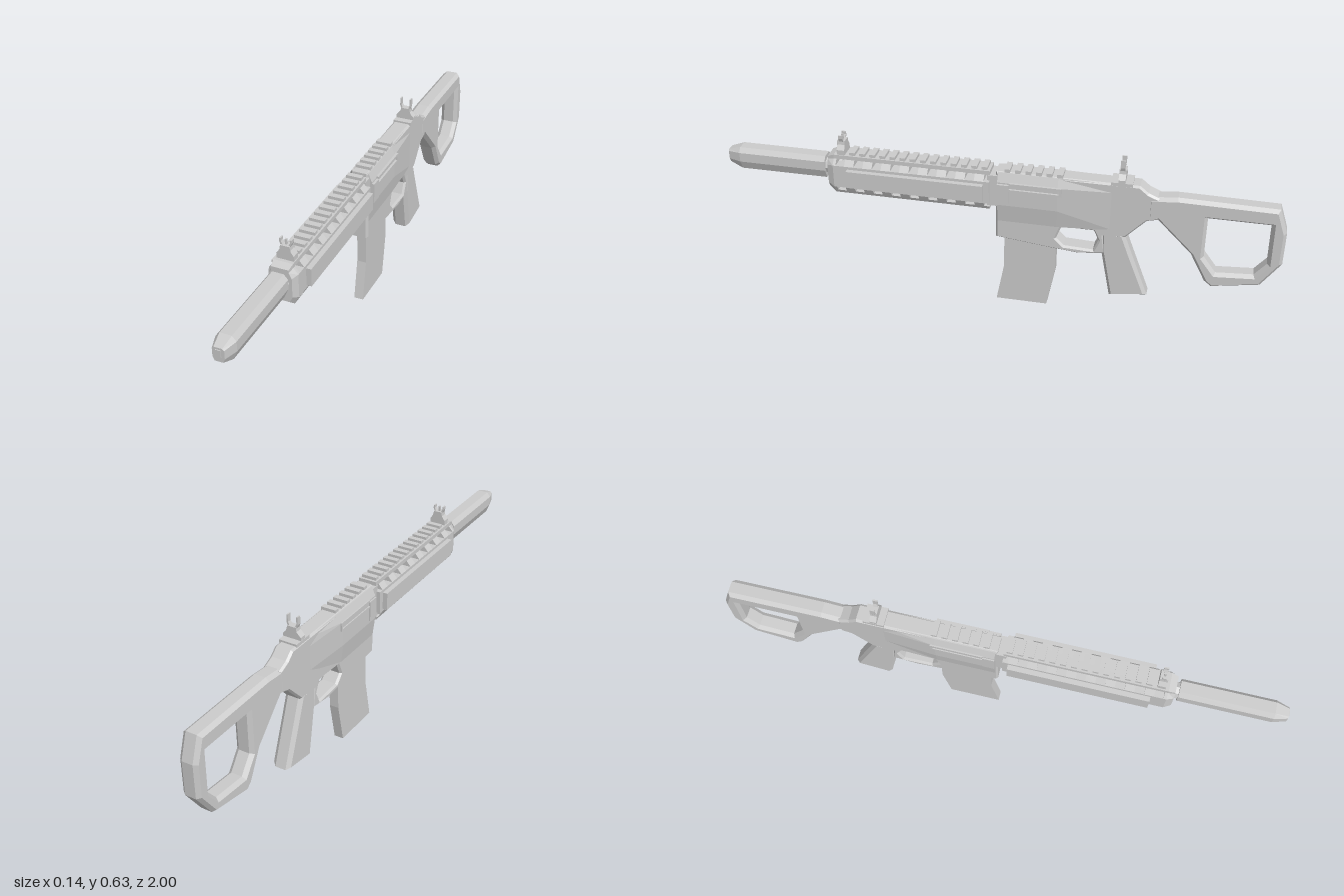
import * as THREE from 'three';

const mat = new THREE.MeshStandardMaterial({ color: 0xcccccc, flatShading: true });

export function createModel() {
  const root = new THREE.Group();

  function add(name, geo, x = 0, y = 0, z = 0) {
    const m = new THREE.Mesh(geo, mat);
    m.name = name;
    m.position.set(x, y, z);
    root.add(m);
    return m;
  }

  // box given by its half width and its y and z ranges
  const slab = (name, hw, y0, y1, z0, z1, x = 0) =>
    add(name, new THREE.BoxGeometry(2 * hw, y1 - y0, z1 - z0), x, (y0 + y1) / 2, (z0 + z1) / 2);

  // chamfered plate cut from a side outline of [z, y] points
  function plate(name, outline, hw, bevel, hole, x = 0) {
    const toPts = (a) => a.map(([z, y]) => new THREE.Vector2(z, y));
    const shape = new THREE.Shape(toPts(outline));
    if (hole) shape.holes.push(new THREE.Path(toPts(hole)));
    const depth = 2 * (hw - bevel);
    const geo = new THREE.ExtrudeGeometry(shape, {
      depth, bevelEnabled: bevel > 0, bevelSegments: 1,
      bevelSize: bevel * 0.8, bevelThickness: bevel, bevelOffset: -bevel * 0.8,
    });
    geo.translate(0, 0, -depth / 2);
    geo.rotateY(-Math.PI / 2);
    return add(name, geo, x);
  }

  // symmetric loft: sections are [z, half profile from bottom to top]
  function loft(name, sections, x = 0) {
    const pos = [], idx = [];
    const n = sections[0][1].length * 2;
    for (const [z, half] of sections) {
      const ring = [...half, ...half.map(([a, b]) => [-a, b]).reverse()];
      for (const [a, b] of ring) pos.push(a, b, z);
    }
    const last = (sections.length - 1) * n;
    for (let o = 0; o < last; o += n) {
      for (let j = 0; j < n; j++) {
        const a = o + j, b = o + (j + 1) % n;
        idx.push(a, b, b + n, a, b + n, a + n);
      }
    }
    for (let j = 1; j < n - 1; j++) idx.push(0, j + 1, j, last, last + j, last + j + 1);
    const geo = new THREE.BufferGeometry();
    geo.setAttribute('position', new THREE.Float32BufferAttribute(pos, 3));
    geo.setIndex(idx);
    const flat = geo.toNonIndexed();
    flat.computeVertexNormals();
    return add(name, flat, x);
  }

  // barrel sleeve with a tapered tip
  const sleeve = [[0.02, 0.442], [0.034, 0.475], [0.034, 0.51], [0.02, 0.527]];
  const tip = [[0.014, 0.462], [0.02, 0.476], [0.02, 0.506], [0.014, 0.512]];
  loft('barrelSleeve', [[0.625, sleeve], [0.95, sleeve], [0.997, tip]]);
  slab('bore', 0.009, 0.478, 0.505, 0.96, 1.0);
  add('barrelNeck', new THREE.CylinderGeometry(0.03, 0.03, 0.08, 8).rotateX(Math.PI / 2), 0, 0.485, 0.605);

  // handguard: three long bars joined by ribs, leaving open slots
  const full = [[0.035, 0.395], [0.051, 0.425], [0.051, 0.51], [0.034, 0.53], [0.034, 0.545]];
  const nose = [[0.03, 0.415], [0.04, 0.435], [0.04, 0.505], [0.03, 0.525], [0.03, 0.535]];
  loft('handguardFront', [[0.578, full], [0.588, full], [0.612, nose]]);
  slab('handguardCore', 0.051, 0.425, 0.51, 0.02, 0.58);
  slab('handguardTop', 0.034, 0.53, 0.545, 0.02, 0.58);
  loft('handguardBottom', [0.02, 0.58].map((z) => [z, [[0.035, 0.395], [0.042, 0.408]]]));
  for (let i = 0; i < 8; i++) {
    const c = 0.056 + i * 0.0675, ends = [c - 0.017, c + 0.017];
    loft('upperRib', ends.map((z) => [z, [[0.051, 0.51], [0.034, 0.53]]]));
    loft('lowerRib', ends.map((z) => [z, [[0.042, 0.408], [0.051, 0.425]]]));
  }
  for (const s of [-1, 1]) slab('sidePanel', 0.011, 0.435, 0.5, 0.04, 0.535, s * 0.058);
  slab('joint', 0.036, 0.41, 0.53, -0.02, 0.03);

  // rail teeth
  for (let z = 0.03; z < 0.53; z += 0.037) slab('railTooth', 0.028, 0.543, 0.556, z, z + 0.02);
  for (let z = -0.03; z > -0.22; z -= 0.037) slab('railTooth', 0.028, 0.543, 0.556, z - 0.02, z);

  // receiver with trigger opening
  plate('receiver', [
    [0, 0.545], [-0.5, 0.545], [-0.53, 0.52], [-0.57, 0.503], [-0.57, 0.42], [-0.53, 0.41],
    [-0.46, 0.335], [-0.385, 0.33], [-0.395, 0.26], [-0.3, 0.247], [-0.2, 0.256], [0, 0.278],
  ], 0.034, 0.008, [
    [-0.235, 0.348], [-0.35, 0.348], [-0.368, 0.31], [-0.35, 0.268], [-0.245, 0.272], [-0.217, 0.3],
  ], -0.002);
  const wide = [[0.036, 0.35], [0.046, 0.42], [0.046, 0.51], [0.033, 0.543]];
  const slim = [[0.033, 0.36], [0.033, 0.42], [0.033, 0.51], [0.028, 0.542]];
  loft('receiverSides', [[-0.42, slim], [-0.22, wide], [-0.008, wide]], -0.002);

  // framed side ports and front lugs, mirrored
  for (const s of [-1, 1]) {
    const x = s * 0.045;
    slab('portTop', 0.007, 0.505, 0.513, -0.235, -0.05, x);
    slab('portBottom', 0.007, 0.482, 0.489, -0.235, -0.05, x);
    slab('portEnd', 0.007, 0.482, 0.513, -0.235, -0.226, x);
    slab('frontLug', 0.008, 0.43, 0.505, -0.05, -0.008, x);
  }

  // magazine
  plate('magazine', [
    [-0.028, 0.3], [-0.215, 0.3], [-0.215, 0.15], [-0.187, 0], [0, 0], [-0.028, 0.15],
  ], 0.0175, 0, null, -0.0035);

  // pistol grip
  plate('grip', [
    [-0.375, 0.35], [-0.455, 0.35], [-0.485, 0.27], [-0.55, 0.1], [-0.415, 0.08], [-0.38, 0.26],
  ], 0.034, 0.014, null, -0.002);

  // open frame stock
  plate('stock', [
    [-0.53, 0.503], [-0.63, 0.513], [-0.97, 0.509], [-1, 0.42], [-1, 0.295], [-0.935, 0.2],
    [-0.77, 0.17], [-0.745, 0.19], [-0.69, 0.295], [-0.565, 0.42], [-0.53, 0.42],
  ], 0.034, 0.014, [
    [-0.735, 0.445], [-0.948, 0.445], [-0.95, 0.29], [-0.91, 0.24], [-0.78, 0.23], [-0.735, 0.29],
  ], -0.001);

  // sights: stepped base with two splayed ears
  function sight(name, z, top, depth, hw) {
    const base = [[hw, 0.54], [hw, 0.563], [0.018, 0.58], [0.016, 0.595]];
    loft(name + 'Base', [z - depth, z + depth].map((p) => [p, base]), 0.001);
    for (const s of [-1, 1]) {
      const ear = new THREE.Shape([[0.008, 0.59], [0.016, 0.59], [0.021, 0.604], [0.021, top],
        [0.016, top], [0.016, 0.606]].map(([a, b]) => new THREE.Vector2(s * a, b)));
      add(name + 'Ear', new THREE.ExtrudeGeometry(ear, { depth: 0.016, bevelEnabled: false }), 0.001, 0, z - 0.008);
    }
  }
  sight('rearSight', -0.437, 0.632, 0.012, 0.034);
  sight('frontSight', 0.562, 0.616, 0.014, 0.03);
  slab('frontPost', 0.003, 0.59, 0.614, 0.558, 0.566);
  slab('rearSightMount', 0.034, 0.54, 0.552, -0.475, -0.4);

  return root;
}
